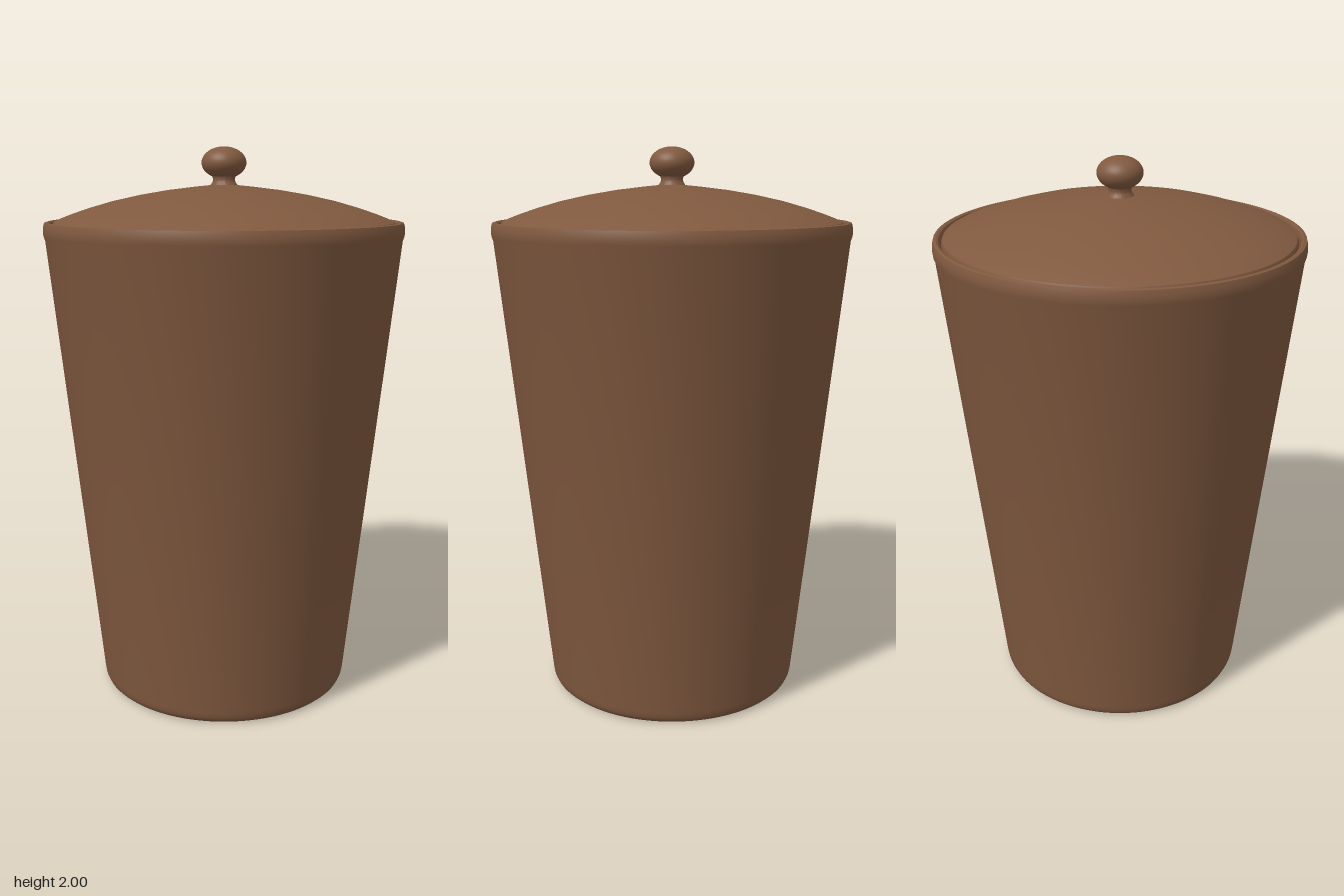
import * as THREE from 'three';
import { toCreasedNormals } from 'three/addons/utils/BufferGeometryUtils.js';

const SEGMENTS = 96;

export function createModel() {
  const model = new THREE.Group();
  model.name = 'liddedBin';
  const brown = new THREE.MeshStandardMaterial({ color: 0x80593f });
  brown.name = 'brown';

  // Turns a bottom-to-top [radius, height] profile around the y axis
  const turn = (name, profile) => {
    const points = profile.map(([r, y]) => new THREE.Vector2(r, y));
    const geometry = toCreasedNormals(new THREE.LatheGeometry(points, SEGMENTS), 0.6);
    const mesh = new THREE.Mesh(geometry, brown);
    mesh.name = name;
    model.add(mesh);
  };

  // Tapered body with rounded foot, rolled rim and hollow inside
  turn('body', [
    [0, 0], [0.435, 0], [0.448, 0.004], [0.458, 0.013], [0.464, 0.026], [0.467, 0.045],
    [0.638, 1.675], [0.643, 1.69], [0.645, 1.705], [0.644, 1.722], [0.64, 1.737],
    [0.63, 1.74], [0.622, 1.736], [0.617, 1.725], [0.612, 1.66], [0.44, 0.04], [0, 0.04],
  ]);

  // Domed lid resting inside the rim
  turn('lid', [
    [0, 1.70], [0.61, 1.70], [0.614, 1.725], [0.608, 1.738], [0.585, 1.75], [0.54, 1.767],
    [0.48, 1.787], [0.4, 1.81], [0.3, 1.832], [0.2, 1.849], [0.1, 1.861], [0.05, 1.866], [0, 1.868],
  ]);

  // Short flared neck below the knob
  turn('knobNeck', [
    [0.05, 1.862], [0.046, 1.87], [0.041, 1.876], [0.039, 1.886], [0.042, 1.9], [0.05, 1.91],
  ]);

  // Flattened round knob
  const knob = new THREE.Mesh(new THREE.SphereGeometry(0.08, 48, 24), brown);
  knob.name = 'knob';
  knob.scale.y = 0.7;
  knob.position.y = 1.944;
  model.add(knob);

  return model;
}
